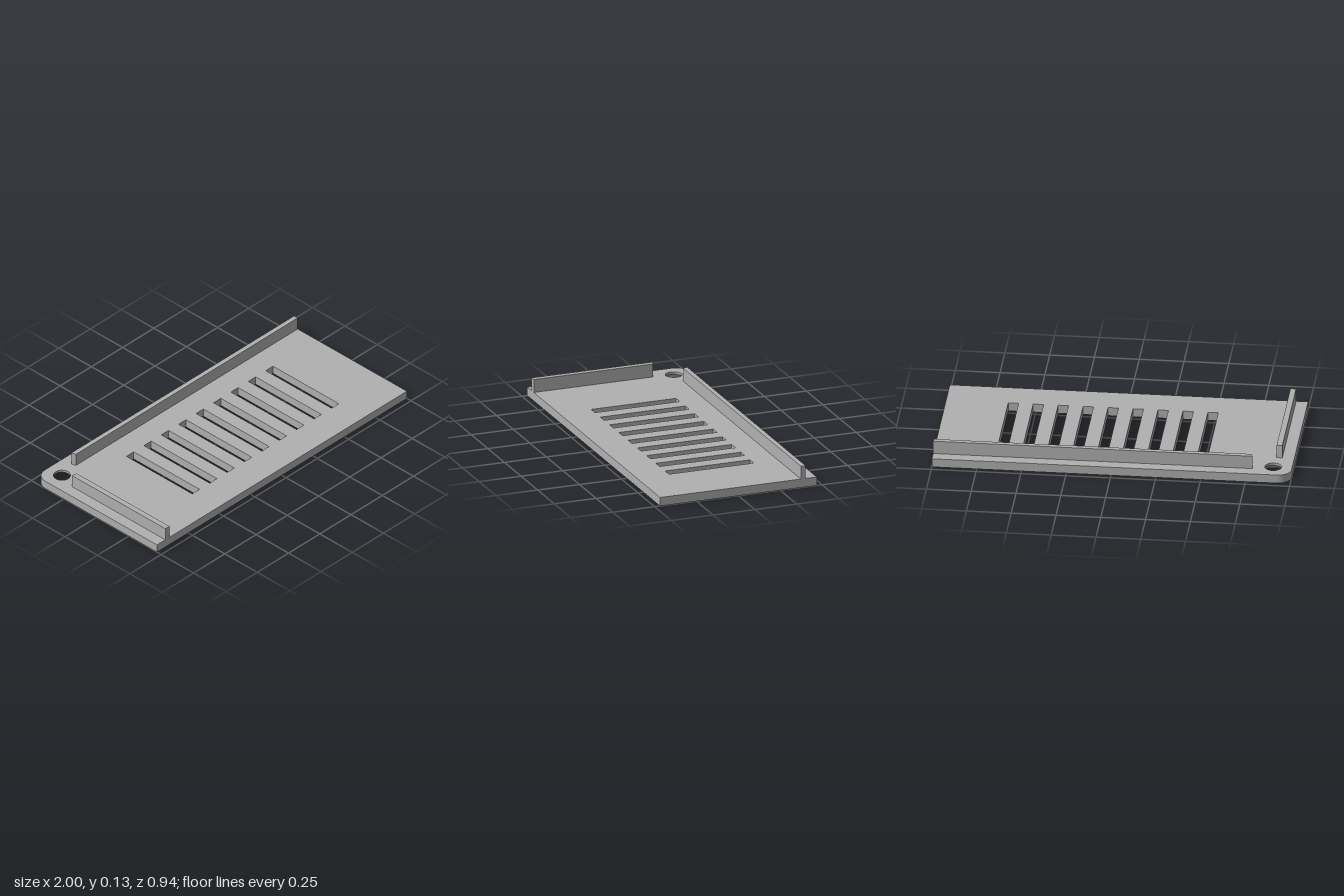
import * as THREE from 'three';
import { toCreasedNormals } from 'three/addons/utils/BufferGeometryUtils.js';

const THICK = 0.05, TOP = 0.126;
const HOLE = { x: -0.895, z: -0.365, r: 0.047, sink: 0.088 };

// Closed outline from [x, z] points (shape y is -z)
const outline = (pts) => new THREE.Shape(pts.map(([x, z]) => new THREE.Vector2(x, -z)));

// Extrude a plan shape upward from y0 to y1
function slab(shape, y0, y1) {
  const geo = new THREE.ExtrudeGeometry(shape, { depth: y1 - y0, bevelEnabled: false, curveSegments: 24 });
  geo.rotateX(-Math.PI / 2);
  geo.translate(0, y0, 0);
  return toCreasedNormals(geo, 0.5);
}

export function createModel() {
  const group = new THREE.Group();
  const grey = new THREE.MeshStandardMaterial({ color: 0xb0b0b0 });
  grey.name = 'grey';
  const add = (name, geo) => {
    const mesh = new THREE.Mesh(geo, grey);
    mesh.name = name;
    group.add(mesh);
    return mesh;
  };

  // Base plate with one rounded corner
  const w = 1, d = 0.468, r = 0.075;
  const plate = new THREE.Shape();
  plate.moveTo(-w, -d);
  plate.lineTo(w, -d);
  plate.lineTo(w, d);
  plate.lineTo(-w + r, d);
  plate.absarc(-w + r, d - r, r, Math.PI / 2, Math.PI, false);
  plate.closePath();

  // Nine ventilation slots
  for (let i = 0; i < 9; i++) {
    const x = -0.49 + i * 0.1393;
    plate.holes.push(outline([[x - 0.029, -0.23], [x + 0.029, -0.23], [x + 0.029, 0.277], [x - 0.029, 0.277]]));
  }

  // Opening for the countersunk screw hole
  const opening = new THREE.Path();
  opening.absarc(HOLE.x, -HOLE.z, HOLE.sink, 0, Math.PI * 2, true);
  plate.holes.push(opening);
  add('basePlate', slab(plate, 0, THICK));

  // Collar fills the opening: flat rim, short bore, flared countersink
  const profile = [[HOLE.sink, THICK], [HOLE.r, THICK], [HOLE.r, 0.036], [HOLE.sink, 0]]
    .map(([x, y]) => new THREE.Vector2(x, y));
  const collar = add('countersunkHole', toCreasedNormals(new THREE.LatheGeometry(profile, 48), 0.5));
  collar.position.set(HOLE.x, 0, HOLE.z);

  // Upright ribs with slightly slanted ends beside the hole
  add('backRib', slab(outline([[-0.783, -0.401], [1, -0.401], [1, -0.373], [-0.775, -0.373]]), THICK, TOP));
  add('sideRib', slab(outline([[-0.933, -0.252], [-0.901, -0.245], [-0.901, d], [-0.933, d]]), THICK, TOP));

  return group;
}
